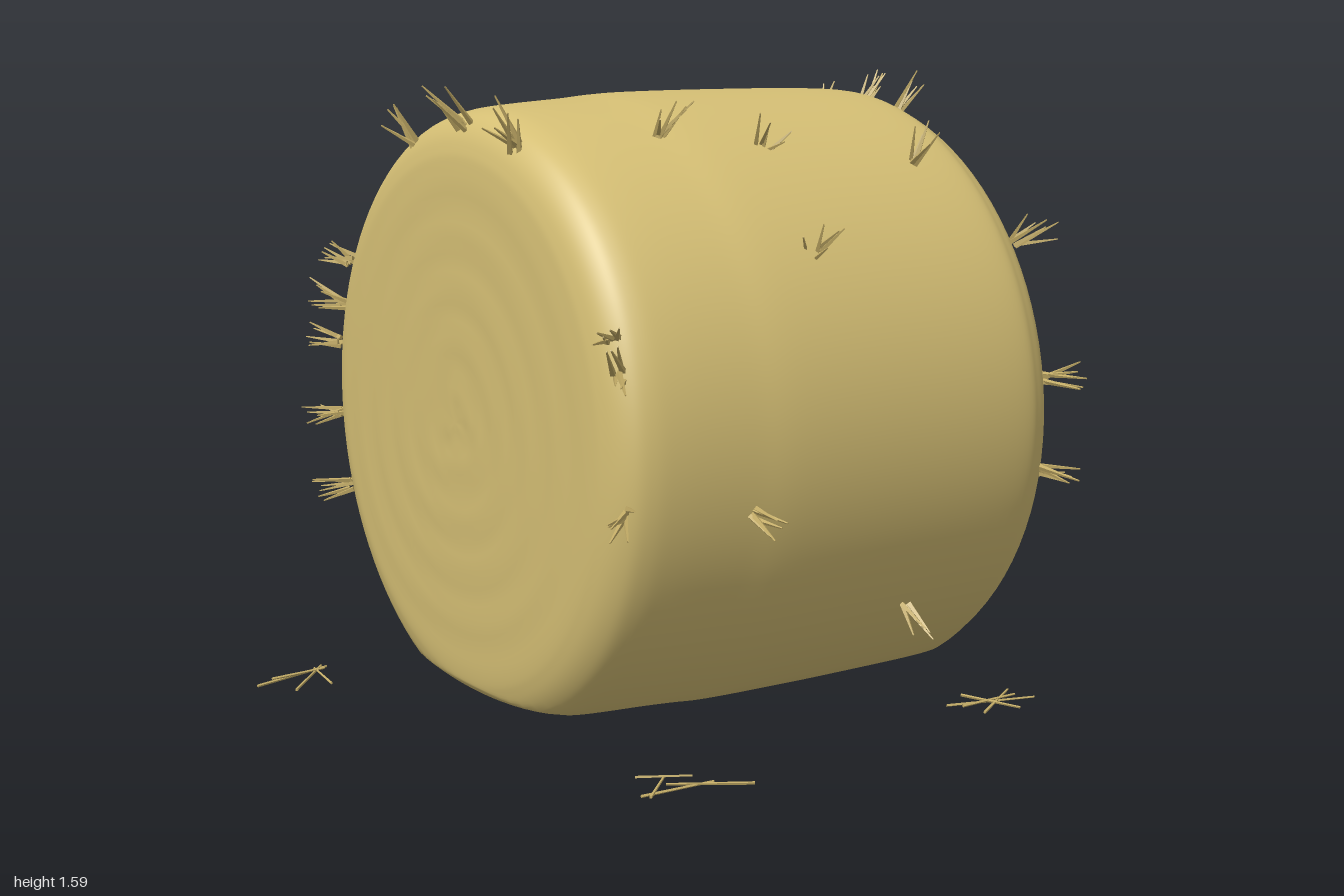
import * as THREE from 'three';
import { mergeGeometries, mergeVertices } from 'three/addons/utils/BufferGeometryUtils.js';

const CY = 0.74, CZ = 0.09; // roll axis, running along x
const rad = Math.PI / 180;

let seed = 7;
function rand(a, b) {
  seed = (seed * 16807) % 2147483647;
  return a + (b - a) * (seed / 2147483647);
}

// Tapered straw from one point to another
function straw(from, to, r0, r1) {
  const dir = to.clone().sub(from);
  const g = new THREE.CylinderGeometry(r1, r0, dir.length(), 4);
  g.applyQuaternion(new THREE.Quaternion().setFromUnitVectors(new THREE.Vector3(0, 1, 0), dir.clone().normalize()));
  const mid = from.clone().add(to).multiplyScalar(0.5);
  return g.translate(mid.x, mid.y, mid.z);
}

// Spray of short straws around a main direction
function tuft(base, dir, count) {
  const blades = [];
  for (let i = 0; i < count; i++) {
    const d = dir.clone().add(new THREE.Vector3(rand(-0.5, 0.5), rand(-0.5, 0.5), rand(-0.5, 0.5))).normalize();
    const root = base.clone().add(new THREE.Vector3(rand(-0.015, 0.015), rand(-0.015, 0.015), rand(-0.015, 0.015)));
    blades.push(straw(root, root.clone().addScaledVector(d, rand(0.08, 0.13)), 0.008, 0.002));
  }
  return mergeGeometries(blades);
}

// Rolled body: lathe with rounded rims, faint coils on the ends, flattened underside
function baleGeometry() {
  const profile = [
    [0, -0.505], [0.3, -0.505], [0.6, -0.497], [0.69, -0.485], [0.745, -0.455], [0.773, -0.41],
    [0.787, -0.33], [0.8, -0.15], [0.81, 0], [0.808, 0.3], [0.797, 0.64], [0.775, 0.73],
    [0.735, 0.78], [0.67, 0.797], [0.3, 0.807], [0, 0.807],
  ].map(([r, x]) => new THREE.Vector2(r, x));
  const pts = new THREE.SplineCurve(profile).getPoints(120);
  pts.forEach((p) => { p.x = Math.max(p.x, 0); });
  let g = new THREE.LatheGeometry(pts, 96);
  g.rotateZ(-Math.PI / 2);
  g.deleteAttribute('uv');
  g.deleteAttribute('normal');
  g = mergeVertices(g, 1e-4);
  const pos = g.attributes.position;
  for (let i = 0; i < pos.count; i++) {
    let x = pos.getX(i), y = pos.getY(i), z = pos.getZ(i);
    const r = Math.hypot(y, z), a = Math.atan2(y, z);
    if (r < 0.66) {
      const fade = Math.min(1, r / 0.08) * Math.min(1, (0.66 - r) / 0.15);
      x += 0.002 * fade * Math.sin(r * 48 + a + 0.8 * Math.sin(3 * a));
    }
    const k = 1 + 0.004 * Math.sin(3 * a + 4 * x) * Math.min(1, r);
    y = CY + y * k;
    z = CZ + z * k;
    if (y < 0.07) y = 0.07 + (y - 0.07) * 0.4;
    pos.setXYZ(i, x, y, z);
  }
  g.computeVertexNormals();
  return g;
}

export function createModel() {
  const hay = new THREE.MeshStandardMaterial({ color: 0xd4be74 });
  hay.name = 'hay';
  const strawMat = new THREE.MeshStandardMaterial({ color: 0xc2ab66, flatShading: true });
  strawMat.name = 'straw';

  const model = new THREE.Group();
  model.name = 'hayBale';
  const add = (name, geometry, material) => {
    const m = new THREE.Mesh(geometry, material);
    m.name = name;
    model.add(m);
  };

  add('baleBody', baleGeometry(), hay);

  // Tufts around each rim, angles measured from the front upward
  const rims = [
    ['leftRimTufts', 0.765, 1, [35, 8, -10, 80, 91, 104, 136, 143, 160, 180, 220, 226]],
    ['rightRimTufts', -0.465, -1, [24, 17, -7, 71, 90, 113, 153, 163, 172, 187, 203]],
  ];
  for (const [name, x, side, angles] of rims) {
    add(name, mergeGeometries(angles.map((deg) => {
      const c = Math.cos(deg * rad), s = Math.sin(deg * rad);
      return tuft(new THREE.Vector3(x, CY + 0.74 * s, CZ + 0.74 * c), new THREE.Vector3(0.75 * side, s, c), 6);
    })), strawMat);
  }

  // Tufts on the curved side: x and angle
  const sideTufts = [[-0.13, 64], [0.13, 59], [0.54, 53], [0.11, 34], [-0.14, -9], [0.4, -33]];
  add('sideTufts', mergeGeometries(sideTufts.map(([x, deg]) => {
    const c = Math.cos(deg * rad), s = Math.sin(deg * rad);
    return tuft(new THREE.Vector3(x, CY + 0.79 * s, CZ + 0.79 * c), new THREE.Vector3(0, s, c), 5);
  })), strawMat);

  // Loose straws on the ground: x, z to x, z
  const loose = [
    [0.25, -1, 0.32, -0.76], [0.38, -0.92, 0.27, -0.8], [0.29, -0.92, 0.3, -0.78], [0.32, -0.95, 0.26, -0.8],
    [-0.87, -0.34, -0.64, -0.41], [-0.8, -0.25, -0.65, -0.42], [-0.7, -0.25, -0.68, -0.4], [-0.82, -0.36, -0.66, -0.38],
    [-0.47, 0.905, -0.27, 0.905], [-0.2, 0.97, -0.38, 0.87], [-0.46, 0.93, -0.36, 0.83], [-0.42, 0.8, -0.3, 0.86],
    [0.56, 0.74, 0.8, 0.8], [0.6, 0.84, 0.78, 0.72], [0.64, 0.7, 0.7, 0.86], [0.58, 0.78, 0.76, 0.77],
  ];
  add('looseStraws', mergeGeometries(loose.map(([x0, z0, x1, z1], i) => {
    const y = 0.004 + 0.002 * (i % 4);
    return straw(new THREE.Vector3(x0, y, z0), new THREE.Vector3(x1, y, z1), 0.004, 0.003);
  })), strawMat);

  return model;
}
